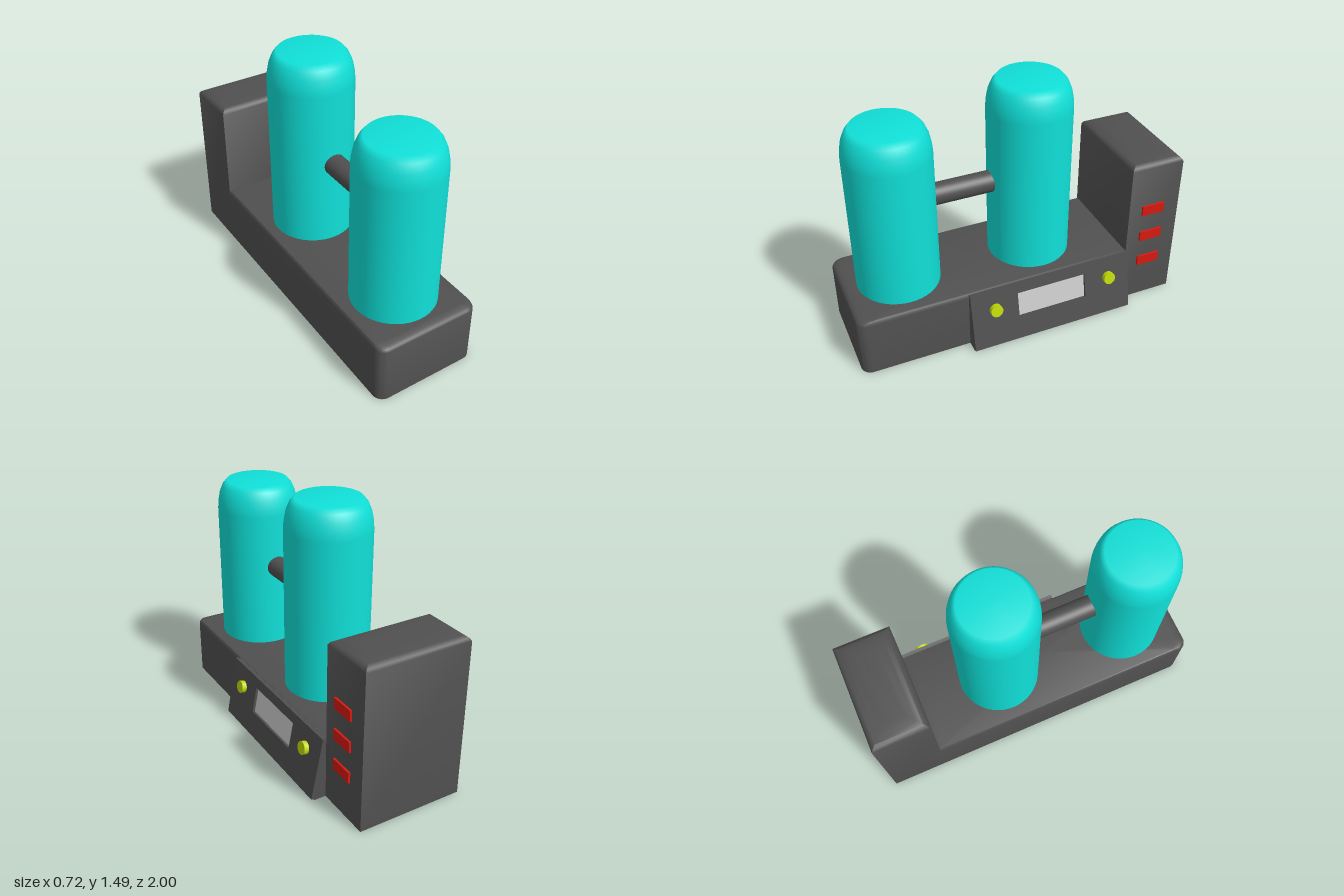
import * as THREE from 'three';
import { toCreasedNormals } from 'three/addons/utils/BufferGeometryUtils.js';

const material = (color) => new THREE.MeshStandardMaterial({ color });
const dark = material(0x505050);
const cyan = material(0x10e0d8);
const red = material(0xd81a10);
const lime = material(0xc0d808);
const grey = material(0xcccccc);

function add(parent, name, geometry, mat, x = 0, y = 0, z = 0) {
  const mesh = new THREE.Mesh(geometry, mat);
  mesh.name = name;
  mesh.position.set(x, y, z);
  parent.add(mesh);
  return mesh;
}

// Convex plan outline (half sizes hx, hz) with the two front corners rounded by r
function outline(hx, hz, r) {
  const points = [[hx, -hz], [-hx, -hz]];
  const steps = r > 0 ? 8 : 0;
  for (const side of [-1, 1]) {
    for (let i = 0; i <= steps; i++) {
      const t = steps ? (i / steps) * Math.PI / 2 : 0;
      const [c, s] = side < 0 ? [Math.cos(t), Math.sin(t)] : [Math.sin(t), Math.cos(t)];
      points.push([side * (hx - r + r * c), hz - r + r * s]);
    }
  }
  return points;
}

// Block lofted through layers of [inset in x, inset in z, height]
function softBlock(hx, hz, r, layers) {
  const plan = outline(hx, hz, r), n = plan.length, pos = [], index = [];
  for (const [ix, iz, y] of layers)
    for (const [x, z] of plan) pos.push(x * (1 - ix / hx), y, z * (1 - iz / hz));
  const last = (layers.length - 1) * n, bottom = pos.length / 3, top = bottom + 1;
  pos.push(0, layers[0][2], 0, 0, layers.at(-1)[2], 0);
  for (let i = 0; i < n; i++) {
    const j = (i + 1) % n;
    for (let k = 0; k < last; k += n)
      index.push(k + i, k + j, k + n + j, k + i, k + n + j, k + n + i);
    index.push(top, last + i, last + j, bottom, j, i);
  }
  const g = new THREE.BufferGeometry();
  g.setAttribute('position', new THREE.Float32BufferAttribute(pos, 3));
  g.setIndex(index);
  return toCreasedNormals(g, 0.7);
}

// Upright tank with rounded shoulders
function tank(height) {
  const profile = [[0.245, 0.3], [0.245, height - 0.17], [0.241, height - 0.125],
    [0.231, height - 0.075], [0.212, height - 0.03], [0.187, height], [0, height]];
  return new THREE.LatheGeometry(profile.map(([x, y]) => new THREE.Vector2(x, y)), 48);
}

export function createModel() {
  const model = new THREE.Group();
  model.name = 'twinTankMachine';
  const cx = -0.0475;

  // Base and rear tower
  add(model, 'base', softBlock(0.3175, 0.85, 0.06, [
    [0, 0, 0], [0, 0, 0.345], [0.003, 0.008, 0.358], [0.008, 0.025, 0.367], [0.018, 0.06, 0.37],
  ]), dark, cx, 0, 0.15);
  add(model, 'tower', softBlock(0.3175, 0.1675, 0, [
    [0, 0, 0], [0, 0, 0.93], [0.01, 0.01, 0.945], [0.03, 0.03, 0.958],
    [0.06, 0.06, 0.966], [0.11, 0.11, 0.97],
  ]), dark, cx, 0, -0.8325);

  // Tanks and the pipe joining them
  add(model, 'frontTank', tank(1.375), cyan, -0.05, 0, 0.67);
  add(model, 'rearTank', tank(1.49), cyan, -0.05, 0, -0.155);
  add(model, 'pipe', new THREE.CylinderGeometry(0.064, 0.064, 0.6, 32).rotateX(Math.PI / 2),
    dark, -0.05, 0.882, 0.26);

  // Tower buttons
  for (const y of [0.272, 0.457, 0.642])
    add(model, 'towerButton', new THREE.BoxGeometry(0.04, 0.065, 0.145), red, 0.262, y, -0.8225);

  // Wedge behind the control panel
  const length = 1.02, depth = 0.02;
  const wedge = new THREE.Shape([[0.2, 0], [0.338, 0], [0.34, 0.008], [0.27, 0.366], [0.2, 0.366]]
    .map(([x, y]) => new THREE.Vector2(x, y)));
  add(model, 'panelWedge', new THREE.ExtrudeGeometry(wedge, { depth: length, bevelEnabled: false }),
    dark, 0, 0, -0.665);

  // Sloped control panel: local x runs to the rear, y up the slope, z outwards
  const panel = new THREE.Group();
  panel.name = 'controlPanel';
  panel.position.set(0.325, 0.19, -0.155);
  panel.rotation.set(-Math.atan2(0.07, 0.36), Math.PI / 2, 0, 'YXZ');
  model.add(panel);

  const rect = (Type, x0, y0, x1, y1) => new Type(
    [[x0, y0], [x1, y0], [x1, y1], [x0, y1]].map(([x, y]) => new THREE.Vector2(x, y)));
  const face = rect(THREE.Shape, -length / 2, -0.1833, length / 2, 0.1833);
  face.holes.push(rect(THREE.Path, -0.22, -0.036, 0.215, 0.122));
  add(panel, 'panelFace', new THREE.ExtrudeGeometry(face, { depth, bevelEnabled: false }),
    dark, 0, 0, -depth);
  add(panel, 'screen', new THREE.BoxGeometry(0.435, 0.158, 0.01), grey, -0.0025, 0.043, -0.02);
  for (const x of [-0.365, 0.37])
    add(panel, 'knob', new THREE.CylinderGeometry(0.037, 0.037, 0.04, 32).rotateX(Math.PI / 2),
      lime, x, 0.059, 0.008);

  return model;
}
